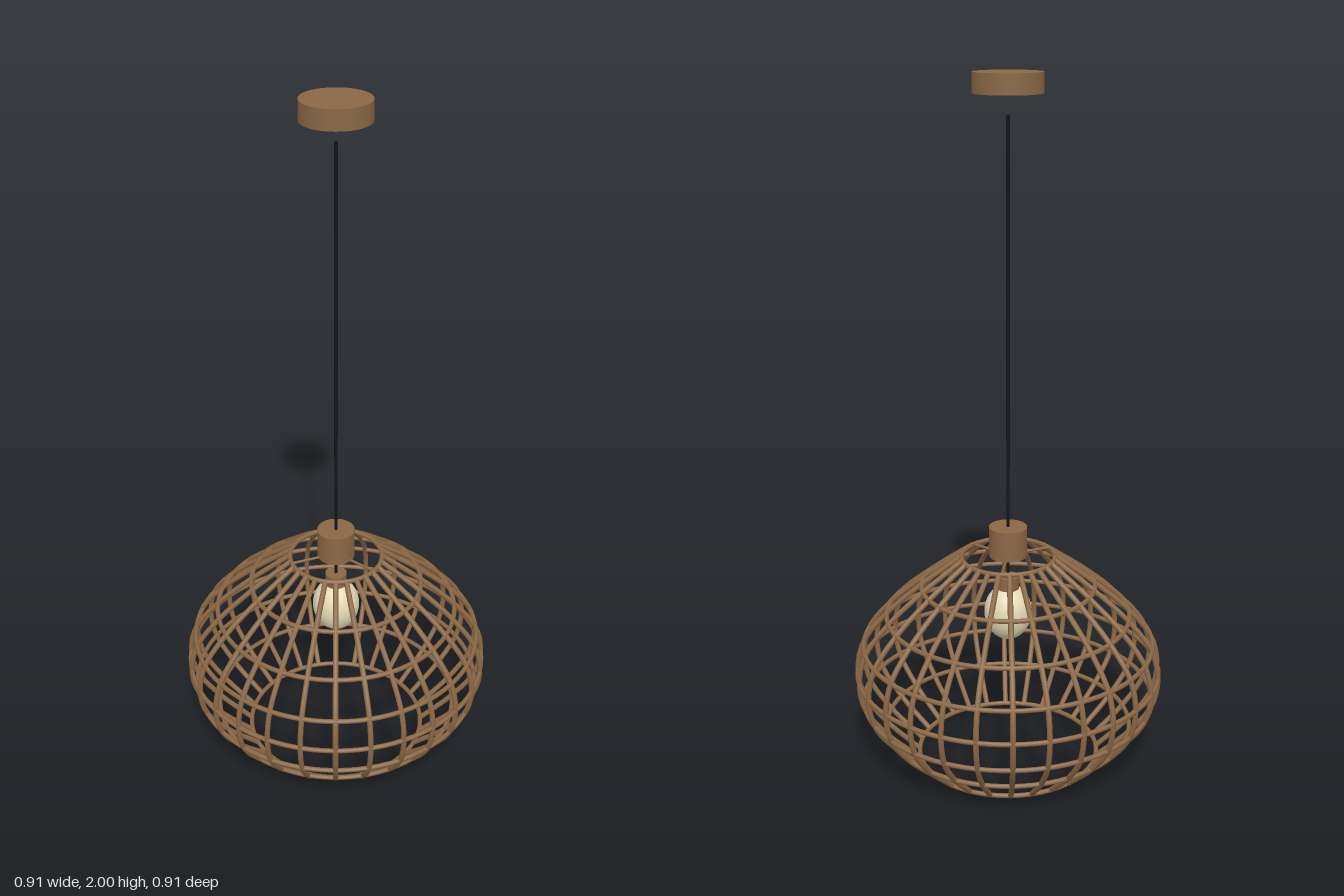
import * as THREE from 'three';

const RIBS = 28;
// Radius and height of the shade at each horizontal hoop, bottom to top
const PROFILE = [
  [0.268, 0.008], [0.365, 0.1], [0.43, 0.19], [0.447, 0.28],
  [0.427, 0.37], [0.357, 0.46], [0.254, 0.55], [0.136, 0.637],
];

export function createModel() {
  const wood = new THREE.MeshStandardMaterial({ color: 0x8b6845 });
  wood.name = 'wood';
  const black = new THREE.MeshStandardMaterial({ color: 0x141414 });
  black.name = 'black cord';
  const cream = new THREE.MeshStandardMaterial({ color: 0xe6dab8 });
  cream.name = 'cream glass';

  const model = new THREE.Group();
  model.name = 'pendantLamp';

  const add = (parent, name, geometry, material) => {
    const mesh = new THREE.Mesh(geometry, material);
    mesh.name = name;
    parent.add(mesh);
    return mesh;
  };
  // Upright cylinder between two heights
  const post = (name, radius, y0, y1, material, sides = 40) => {
    const geometry = new THREE.CylinderGeometry(radius, radius, y1 - y0, sides);
    return add(model, name, geometry.translate(0, (y0 + y1) / 2, 0), material);
  };

  // Ceiling canopy, cord, cap and lamp holder
  post('ceilingCanopy', 0.095, 1.945, 2, wood, 48);
  post('cord', 0.005, 0.57, 1.89, black, 12);
  post('shadeCap', 0.055, 0.64, 0.73, wood);
  post('bulbSocket', 0.032, 0.535, 0.575, wood, 32);

  // Slightly elongated bulb
  const bulb = new THREE.SphereGeometry(0.07, 32, 24).scale(1, 1.2, 1);
  add(model, 'bulb', bulb.translate(0, 0.462, 0), cream);

  const shade = new THREE.Group();
  shade.name = 'shade';
  model.add(shade);

  // Horizontal hoops
  for (const [radius, y] of PROFILE) {
    const hoop = new THREE.TorusGeometry(radius, 0.007, 8, 84).rotateX(Math.PI / 2);
    add(shade, 'hoop', hoop, wood).position.y = y;
  }

  // Curved ribs, with closed ends
  const curve = new THREE.CatmullRomCurve3(PROFILE.map(([r, y]) => new THREE.Vector3(r, y, 0)));
  const ribGeometry = new THREE.TubeGeometry(curve, 28, 0.008, 8);
  const endGeometry = new THREE.CircleGeometry(0.008, 8);
  for (let i = 0; i < RIBS; i++) {
    const rib = add(shade, 'rib', ribGeometry, wood);
    rib.rotation.y = (i / RIBS) * Math.PI * 2;
    for (const t of [0, 1]) {
      const end = add(rib, 'ribEnd', endGeometry, wood);
      const out = curve.getTangentAt(t).multiplyScalar(t ? 1 : -1);
      end.position.copy(curve.getPointAt(t));
      end.quaternion.setFromUnitVectors(new THREE.Vector3(0, 0, 1), out);
    }
  }

  // Three thin spokes joining the cap to the top hoop
  for (let i = 0; i < 3; i++) {
    const spoke = new THREE.CylinderGeometry(0.004, 0.004, 0.1, 8);
    spoke.rotateZ(Math.PI / 2).translate(0.086, 0.643, 0);
    add(shade, 'spoke', spoke, wood).rotation.y = (i / 3) * Math.PI * 2;
  }

  return model;
}
